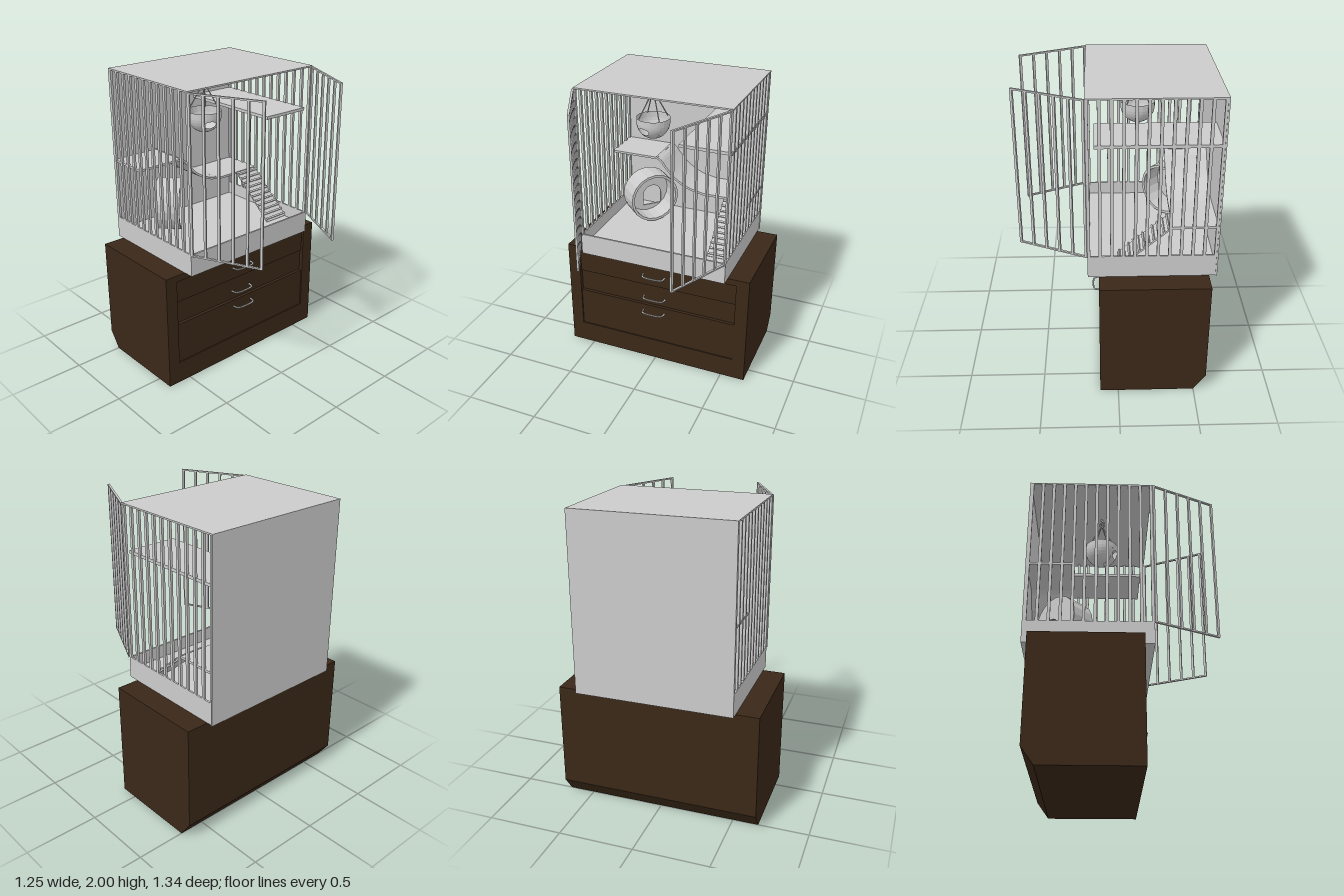
import * as THREE from 'three';
import { ParametricGeometry } from 'three/addons/geometries/ParametricGeometry.js';

const grey = new THREE.MeshStandardMaterial({ color: 0xcccccc });
const greyFlat = new THREE.MeshStandardMaterial({ color: 0xcccccc, flatShading: true, side: THREE.DoubleSide });
const wood = new THREE.MeshStandardMaterial({ color: 0x3a2818 });

function add(parent, name, geo, mat = grey) {
  const mesh = new THREE.Mesh(geo, mat);
  mesh.name = name;
  parent.add(mesh);
  return mesh;
}

function group(parent, name) {
  const g = new THREE.Group();
  g.name = name;
  parent.add(g);
  return g;
}

// Box given by its lower and upper corners
function box(parent, name, [x0, y0, z0], [x1, y1, z1], mat) {
  const geo = new THREE.BoxGeometry(x1 - x0, y1 - y0, z1 - z0);
  geo.translate((x0 + x1) / 2, (y0 + y1) / 2, (z0 + z1) / 2);
  return add(parent, name, geo, mat);
}

// Thin rod through a list of points
function rod(parent, name, pts, r, seg = 1) {
  const path = new THREE.CurvePath();
  const v = pts.map(p => new THREE.Vector3(...p));
  for (let i = 1; i < v.length; i++) path.add(new THREE.LineCurve3(v[i - 1], v[i]));
  return add(parent, name, new THREE.TubeGeometry(path, seg, r, 8), grey);
}

const polygon = pts => new THREE.Shape(pts.map(p => new THREE.Vector2(...p)));
const extrude = (shape, depth, curveSegments = 12) =>
  new THREE.ExtrudeGeometry(shape, { depth, bevelEnabled: false, curveSegments });

function cabinet(root) {
  const g = group(root, 'cabinet');
  // Carcass with a chamfered lower back edge
  const profile = polygon([[-0.58, 0.11], [-0.5, 0], [0.08, 0], [0.08, 0.81], [-0.58, 0.81]]);
  add(g, 'carcass', extrude(profile, 1.34).translate(0, 0, -0.67), wood);

  // Front frame around the drawers
  const frame = polygon([[-0.67, 0], [0.67, 0], [0.67, 0.81], [-0.67, 0.81]]);
  frame.holes.push(polygon([[-0.585, 0.155], [-0.585, 0.765], [0.58, 0.765], [0.58, 0.155]]));
  add(g, 'frontFrame', extrude(frame, 0.04).rotateY(Math.PI / 2).translate(0.08, 0, 0), wood);

  // Drawers: bottom, top, front plane, handle height
  for (const [y0, y1, x, hy] of [[0.155, 0.443, 0.112, 0.395], [0.447, 0.603, 0.095, 0.507], [0.607, 0.765, 0.105, 0.69]]) {
    box(g, 'drawer', [0.07, y0, -0.578], [x, y1, 0.583], wood);
    const curve = new THREE.CatmullRomCurve3([[0, 0.095], [0.035, 0.088], [0.046, 0.06], [0.048, 0.015],
      [0.046, -0.03], [0.035, -0.058], [0, -0.065]].map(([d, z]) => new THREE.Vector3(x + d, hy, z)));
    add(g, 'drawerHandle', new THREE.TubeGeometry(curve, 24, 0.006, 8));
  }
}

function cageShell(root) {
  const g = group(root, 'cage');
  // Tray with low walls
  box(g, 'trayFloor', [-0.625, 0.81, -0.52], [0.19, 0.87, 0.52]);
  box(g, 'trayFront', [0.178, 0.81, -0.52], [0.19, 0.96, 0.52]);
  for (const s of [-1, 1]) {
    const a = s * 0.52, b = s * 0.508;
    box(g, 'traySide', [-0.625, 0.81, Math.min(a, b)], [0.19, 0.96, Math.max(a, b)]);
    // Barred side wall
    for (let i = 0; i < 12; i++) {
      const x = -0.614 + i * 0.0723;
      box(g, 'sideBar', [x - 0.01, 0.96, s * 0.512 - 0.008], [x + 0.01, 1.992, s * 0.512 + 0.008]);
    }
    // Open barred door
    const door = group(g, 'door');
    door.position.set(0.19, 0, s * 0.52);
    door.rotation.y = s * 0.445;
    for (let i = 0; i < 6; i++) {
      const x = 0.008 + i * 0.0925;
      box(door, 'doorBar', [x - 0.008, 0.955, -0.007], [x + 0.008, 1.995, 0.007]);
    }
    for (const y of [0.955, 1.985]) box(door, 'doorRail', [0, y, -0.007], [0.478, y + 0.01, 0.007]);
  }
  box(g, 'backWall', [-0.63, 0.81, -0.525], [-0.62, 2, 0.52]);
  box(g, 'roof', [-0.63, 1.99, -0.525], [0.19, 2, 0.52]);
}

function shelvesAndRamps(root) {
  const g = group(root, 'shelves');
  box(g, 'topShelf', [-0.62, 1.69, -0.515], [0.14, 1.71, -0.17]);
  box(g, 'middleShelf', [-0.62, 1.365, 0.17], [-0.335, 1.38, 0.515]);
  box(g, 'lowShelf', [-0.62, 1.148, -0.515], [-0.335, 1.163, -0.17]);

  // Curved slatted ramp between the two lower shelves
  const curve = new THREE.CatmullRomCurve3([[1.373, 0.175], [1.355, 0.145], [1.315, 0.112], [1.24, 0.04],
    [1.183, -0.06], [1.156, -0.17]].map(([y, z]) => new THREE.Vector3(-0.4775, y, z)));
  const n = 22;
  for (let i = 0; i <= n; i++) {
    const slat = add(g, 'curvedRampSlat', new THREE.BoxGeometry(0.285, 0.015, 0.021));
    slat.position.copy(curve.getPointAt(i / n));
    const t = curve.getTangentAt(i / n);
    slat.rotation.x = Math.atan2(t.y, -t.z);
  }

  // Straight ramp with rungs down to the floor
  const ramp = group(g, 'straightRamp');
  ramp.position.set(-0.335, 1.155, -0.42);
  ramp.rotation.z = -0.71;
  const len = 0.435;
  box(ramp, 'rampBoard', [0, -0.005, -0.09], [len, 0.005, 0.09]);
  for (let i = 0; i < 11; i++) {
    const x = 0.02 + i * 0.0395;
    box(ramp, 'rampRung', [x - 0.006, 0.004, -0.09], [x + 0.006, 0.016, 0.09]);
  }
}

function hut(root) {
  const g = group(root, 'roundHut');
  g.position.set(-0.385, 1.06, 0.245);
  g.rotation.y = Math.atan2(0.69, -0.72);
  const R = 0.18, L = 0.165;
  // Drum wall, open at one end
  const ring = new THREE.Shape().absarc(0, 0, R, 0, Math.PI * 2);
  ring.holes.push(new THREE.Path().absarc(0, 0, R - 0.018, 0, Math.PI * 2, true));
  add(g, 'hutWall', extrude(ring, L, 10).translate(0, 0, -L / 2), greyFlat);
  // End panel with an arched doorway
  const panel = new THREE.Shape().absarc(0, 0, R - 0.01, 0, Math.PI * 2);
  const arch = new THREE.Path();
  arch.moveTo(-0.03, -0.12);
  arch.lineTo(-0.03, -0.04);
  arch.absarc(0.04, -0.04, 0.07, Math.PI, 0, true);
  arch.lineTo(0.11, -0.12);
  panel.holes.push(arch);
  add(g, 'hutEndPanel', extrude(panel, 0.012, 10).translate(0, 0, -L / 2), greyFlat);
}

function hangingBowl(root) {
  const g = group(root, 'hangingBowl');
  g.position.set(-0.147, 1.718, 0.12);
  const R = 0.112, half = Math.PI / 4;
  // Point on the bowl: longitude a (0 faces +x), latitude b below the equator
  const bowlPoint = (a, b, target) => {
    const r = R * (b > 0 ? 1 : Math.cos(b));
    return b > 0 ? target.set(r * Math.cos(a), b * R, r * Math.sin(a))
      : target.set(r * Math.cos(a), R * Math.sin(b), r * Math.sin(a));
  };
  const top = 0.29;
  // Plain three quarters of the bowl
  add(g, 'bowl', new ParametricGeometry((u, v, t) =>
    bowlPoint(half + u * 1.5 * Math.PI, -Math.PI / 2 + v * (Math.PI / 2 + top), t), 18, 10), greyFlat);
  // Front quarter, blended from an oval opening out to its own border
  const b0 = -Math.PI / 2, mid = -0.42;
  add(g, 'bowlFrontWithOpening', new ParametricGeometry((u, v, t) => {
    const w = u * Math.PI * 2, c = Math.cos(w), s = Math.sin(w), k = 1 / Math.max(Math.abs(c), Math.abs(s));
    const ea = -0.3 * -1 + 0.4 * c, eb = mid + 0.23 * s;
    const qa = half * c * k, qb = s > 0 ? mid + (top - mid) * s * k : mid + (mid - b0) * s * k;
    return bowlPoint(ea + (qa - ea) * v, eb + (qb - eb) * v, t);
  }, 32, 6), greyFlat);
  // Cords
  for (const sx of [-1, 1]) for (const sz of [-1, 1])
    rod(g, 'cord', [[sx * 0.072, 0.03, sz * 0.072], [0, 0.215, 0]], 0.004);
  // Hook and ring
  const ring = add(g, 'cordRing', new THREE.TorusGeometry(0.016, 0.005, 8, 16));
  ring.position.y = 0.222;
  const hook = new THREE.CatmullRomCurve3([[-0.016, 0.235], [-0.01, 0.222], [0.006, 0.222], [0.016, 0.238],
    [0.008, 0.252], [0, 0.262], [0, 0.276]].map(([x, y]) => new THREE.Vector3(x * 0.8, y, x * 0.8)));
  add(g, 'hook', new THREE.TubeGeometry(hook, 24, 0.006, 8));
}

export function createModel() {
  const root = new THREE.Group();
  root.name = 'cageOnCabinet';
  cabinet(root);
  cageShell(root);
  shelvesAndRamps(root);
  hut(root);
  hangingBowl(root);
  return root;
}
